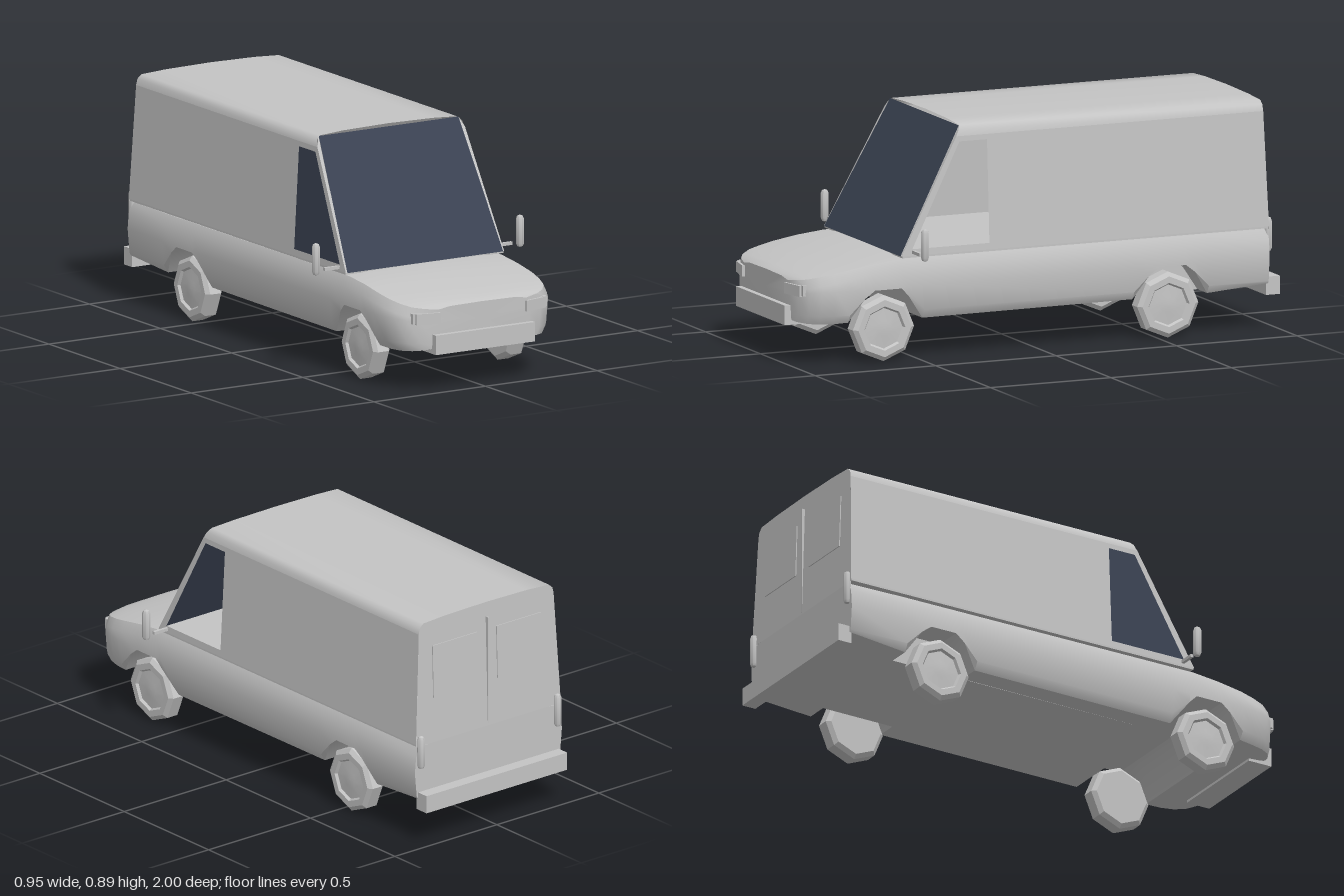
import * as THREE from 'three';
import { toCreasedNormals } from 'three/addons/utils/BufferGeometryUtils.js';

const paint = new THREE.MeshStandardMaterial({ color: 0xc4c4c4, side: THREE.DoubleSide });
paint.name = 'greyPaint';
const glass = new THREE.MeshStandardMaterial({ color: 0x3b4353, side: THREE.DoubleSide });
glass.name = 'darkGlass';

// Piecewise-linear lookup in a table of [key, value]
function lookup(table, k) {
  if (k <= table[0][0]) return table[0][1];
  for (let i = 1; i < table.length; i++) {
    const [a, va] = table[i - 1], [b, vb] = table[i];
    if (k <= b) return va + (vb - va) * (k - a) / (b - a);
  }
  return table[table.length - 1][1];
}

// Surface through rows of [x, y, z] points, all rows equally long
function surface(rows, crease = 0.6) {
  const n = rows[0].length, index = [];
  for (let i = 0; i < rows.length - 1; i++) {
    for (let j = 0; j < n - 1; j++) {
      const a = i * n + j, d = a + n;
      index.push(a, a + 1, d + 1, a, d + 1, d);
    }
  }
  const g = new THREE.BufferGeometry();
  g.setAttribute('position', new THREE.Float32BufferAttribute(rows.flat(2), 3));
  g.setIndex(index);
  return toCreasedNormals(g, crease);
}

// Underside height along z, including wheel arches
const arches = [[-0.95, 0.18], [-0.7, 0.16], [-0.64, 0.25], [-0.6, 0.28], [-0.49, 0.28], [-0.45, 0.25],
  [-0.39, 0.16], [0.48, 0.155], [0.55, 0.25], [0.58, 0.28], [0.69, 0.28], [0.73, 0.25], [0.79, 0.16],
  [0.85, 0.157], [0.9, 0.157], [0.94, 0.159], [0.965, 0.162], [0.978, 0.168]];
const rearFloor = [[-0.95, 0.18], [-0.7, 0.16], [0, 0.157]];
const topLine = [[-0.95, 0.396], [0.58, 0.398], [0.69, 0.387], [0.79, 0.371], [0.9, 0.35], [0.965, 0.333], [0.978, 0.326]];
const widths = [[-0.95, 0.985], [-0.7, 1], [0.79, 1], [0.85, 0.98], [0.9, 0.94], [0.94, 0.86], [0.965, 0.74], [0.978, 0.58]];
const sides = [[0.155, 0.335], [0.19, 0.357], [0.28, 0.366]];

// Closed cross-section of the lower body at z
function section(z) {
  const out = lookup(arches, z), inn = z < 0 ? lookup(rearFloor, z) : out;
  const h = lookup(topLine, z), w = lookup(widths, z);
  const low = Math.max(out, 0.19), mid = Math.max(out, Math.min(0.285, h - 0.06));
  const half = [[0, inn], [0.25, inn], [0.25, out], [lookup(sides, out), out], [lookup(sides, low), low],
    [0.366, mid], [0.36, h - 0.045], [0.342, h - 0.01], [0.25, h - 0.002], [0, h]];
  const left = half.map(([x, y]) => [x * w, y, z]);
  const right = half.slice(0, -1).reverse().map(([x, y]) => [-x * w, y, z]);
  return [...left, ...right];
}

// Upper body: wall lean, and slopes of its front and back
const wallX = (y) => 0.355 - (y - 0.4) * 0.055;
const frontZ = (y) => 0.575 - (y - 0.4) * 0.54;
const backZ = (y) => -0.95 + (y - 0.4) * 0.03;
const roofEdge = [[wallX(0.84), 0.84], [0.325, 0.864], [0.308, 0.879], [0.2, 0.885], [0, 0.888]];

function wallGeometry(shape, side, offset = 0) {
  const g = new THREE.ShapeGeometry(shape);
  const p = g.attributes.position;
  for (let i = 0; i < p.count; i++) {
    const z = p.getX(i), y = p.getY(i);
    p.setXYZ(i, side * (wallX(y) + offset), y, z);
  }
  // Keep the faces of the left wall turned outwards
  if (side > 0) {
    const idx = g.index.array;
    for (let i = 0; i < idx.length; i += 3) [idx[i], idx[i + 1]] = [idx[i + 1], idx[i]];
  }
  g.computeVertexNormals();
  return g;
}

export function createModel() {
  const van = new THREE.Group();
  van.name = 'van';
  const add = (name, geometry, material = paint, pos = [0, 0, 0]) => {
    const m = new THREE.Mesh(geometry, material);
    m.name = name;
    m.position.set(...pos);
    van.add(m);
    return m;
  };
  const box = (name, x0, x1, y0, y1, z0, z1) => add(name, new THREE.BoxGeometry(x1 - x0, y1 - y0, z1 - z0),
    paint, [(x0 + x1) / 2, (y0 + y1) / 2, (z0 + z1) / 2]);

  // Lower body with bonnet, closed at both ends
  const rings = arches.map(([z]) => section(z));
  const cap = (ring) => ring.map(([, , z]) => [0, 0.26, z]);
  add('lowerBody', surface([cap(rings[0]), ...rings, cap(rings[rings.length - 1])]));
  box('cabinFloor', -0.354, 0.354, 0.393, 0.401, -0.948, 0.572);

  // Side walls with window openings
  const points = (list) => list.map(([z, y]) => new THREE.Vector2(z, y));
  const windowPoints = [[0.21, 0.425], [0.53, 0.425], [0.325, 0.82], [0.21, 0.82]];
  const wall = new THREE.Shape(points([[backZ(0.4), 0.4], [frontZ(0.4), 0.4], [frontZ(0.84), 0.84], [backZ(0.84), 0.84]]));
  wall.holes.push(new THREE.Path(points(windowPoints)));
  add('leftWall', wallGeometry(wall, 1));
  add('rightWall', wallGeometry(wall, -1));
  add('rightWindow', wallGeometry(new THREE.Shape(points(windowPoints)), -1), glass);

  // Roof with rounded edges
  const arc = [...roofEdge, ...roofEdge.slice(0, -1).reverse().map(([x, y]) => [-x, y])];
  const roofRow = (zOf) => arc.map(([x, y]) => [x, y, zOf(y)]);
  add('roof', surface([roofRow(backZ), roofRow(frontZ)], 0.8));

  // Rear wall, doors and windscreen
  const rearRows = [[wallX(0.4), 0.39], ...roofEdge].map(([x, y]) => [[x, y, backZ(y)], [-x, y, backZ(y)]]);
  add('rearWall', surface(rearRows));
  box('rearDoorSeam', -0.003, 0.003, 0.4, 0.83, -0.951, -0.936);
  const screenRows = [[0.349, 0.4], [0.313, 0.878]];
  add('windscreen', surface(screenRows.map(([x, y]) => [[-x, y, frontZ(y) + 0.002], [x, y, frontZ(y) + 0.002]])), glass);

  for (const s of [-1, 1]) {
    const side = s > 0 ? 'left' : 'right';
    // Windscreen pillar
    const pillar = [[0.349, wallX(0.4), 0.4], [0.316, wallX(0.84), 0.84], [0.313, 0.314, 0.878]];
    add(side + 'Pillar', surface(pillar.map(([a, b, y]) => {
      const row = [[s * a, y, frontZ(y)], [s * b, y, frontZ(y)]];
      return s > 0 ? row : row.reverse();
    })));
    // Rear door window
    const pane = add(side + 'RearWindow', new THREE.BoxGeometry(0.22, 0.21, 0.006), paint, [s * 0.157, 0.675, backZ(0.675) - 0.001]);
    pane.rotation.x = 0.03;
    // Tail lamp
    add(side + 'TailLamp', toCreasedNormals(new THREE.CapsuleGeometry(0.015, 0.105, 2, 8), 0.5), paint, [s * 0.335, 0.367, -0.955]);
    // Mirror and arm
    add(side + 'Mirror', toCreasedNormals(new THREE.CapsuleGeometry(0.016, 0.094, 2, 8), 0.5), paint, [s * 0.457, 0.457, 0.525]);
    add(side + 'MirrorArm', new THREE.BoxGeometry(0.075, 0.012, 0.012), paint, [s * 0.383, 0.414, 0.525]);
    // Headlamp and indicator
    const lamp = add(side + 'Headlamp', new THREE.BoxGeometry(0.1, 0.042, 0.03), paint, [s * 0.238, 0.285, 0.964]);
    lamp.rotation.y = s * 0.2;
    add(side + 'Indicator', new THREE.BoxGeometry(0.016, 0.04, 0.03), paint, [s * 0.292, 0.287, 0.945]);
  }

  // Bumpers
  box('frontBumper', -0.222, 0.222, 0.147, 0.222, 0.9, 1);
  box('rearBumper', -0.345, 0.345, 0.135, 0.205, -1, -0.942);

  // Eight-sided wheels with recessed hubs
  const profile = [[0, -0.037], [0.11, -0.037], [0.127, -0.024], [0.127, 0.024], [0.11, 0.037],
    [0.085, 0.037], [0.078, 0.027], [0.03, 0.03], [0, 0.033]].map(([r, y]) => new THREE.Vector2(r, y));
  const wheel = toCreasedNormals(new THREE.LatheGeometry(profile, 8), 0.2);
  for (const s of [-1, 1]) {
    for (const z of [0.64, -0.54]) {
      const name = (z > 0 ? 'front' : 'rear') + (s > 0 ? 'Left' : 'Right') + 'Wheel';
      add(name, wheel, paint, [s * 0.308, 0.127, z]).rotation.z = -s * Math.PI / 2;
    }
  }
  return van;
}
